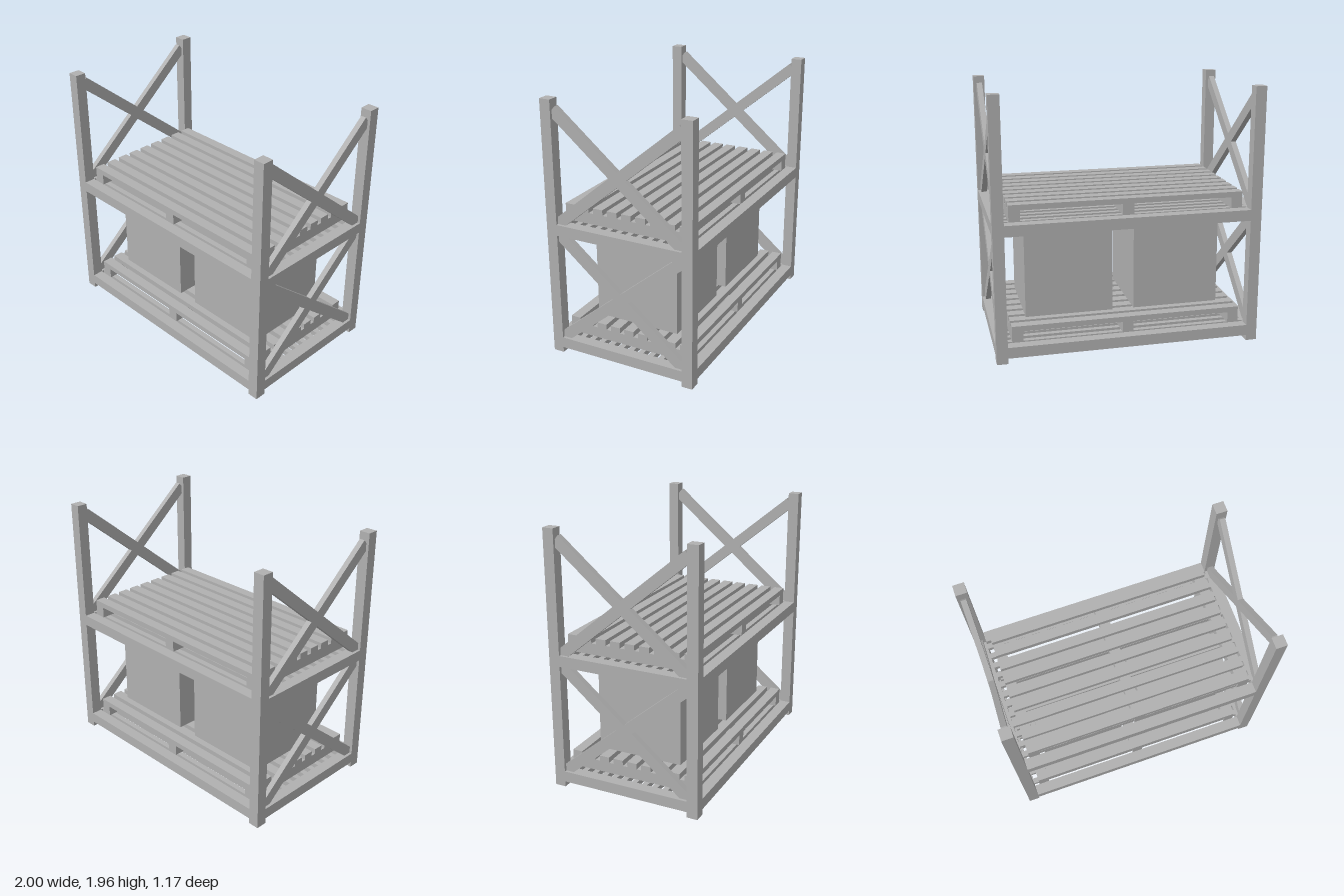
import * as THREE from 'three';

const U = 1 / 12; // timber thickness

export function createModel() {
  const grey = new THREE.MeshStandardMaterial({ color: 0xb0b0b0 });
  grey.name = 'plain grey';
  const model = new THREE.Group();
  model.name = 'palletRack';

  const box = (parent, name, w, h, d, x, y, z) => {
    const mesh = new THREE.Mesh(new THREE.BoxGeometry(w, h, d), grey);
    mesh.name = name;
    mesh.position.set(x, y, z);
    parent.add(mesh);
    return mesh;
  };
  const group = (name, y = 0) => {
    const g = new THREE.Group();
    g.name = name;
    g.position.y = y;
    model.add(g);
    return g;
  };

  // Corner posts
  const postX = 1 - U / 2, postZ = 0.5 + U / 2;
  const posts = group('posts');
  for (const sx of [-1, 1])
    for (const sz of [-1, 1])
      box(posts, 'cornerPost', U, 1.958, U, sx * postX, 0.979, sz * postZ);

  // Shelf: a frame of beams filled with narrow slats (y is the frame's centre)
  const addShelf = (name, y) => {
    const shelf = group(name, y);
    for (const s of [-1, 1]) {
      box(shelf, 'longBeam', 2 - 2 * U, U, U, 0, 0, s * postZ);
      box(shelf, 'sideBeam', U, U, 1, s * postX, 0, 0);
    }
    for (let i = 0; i < 12; i++)
      box(shelf, 'shelfSlat', 2 - 2 * U, U / 2, U / 2, 0, U / 4, (i - 5.5) * U);
  };

  // Pallet: three runners under nine boards (y is the underside)
  const addPallet = (name, y) => {
    const pallet = group(name, y);
    for (const x of [-1, 0, 1])
      box(pallet, 'runner', U, U, 1, x * (0.875 - U / 2), U / 2, 0);
    const board = 0.078;
    for (let i = 0; i < 9; i++)
      box(pallet, 'board', 1.75, U / 2, board, 0, U * 1.25, (i - 4) * (1 - board) / 8);
  };

  // Crossed side braces (y is the crossing point)
  const addBraces = (name, y) => {
    const braces = group(name, y);
    const angle = Math.atan2(5, 6);
    for (const sx of [-1, 1])
      for (const dir of [-1, 1])
        box(braces, 'brace', U / 2, U, 1.31, sx * postX, 0, 0).rotation.x = dir * angle;
  };

  addShelf('lowerShelf', U);
  addShelf('upperShelf', 1);
  addPallet('lowerPallet', 1.5 * U);
  addPallet('upperPallet', 12.5 * U);
  addBraces('lowerBraces', 6.5 * U);
  addBraces('upperBraces', 17.5 * U);

  // Cargo on the lower pallet
  const cargo = group('cargo');
  for (const s of [-1, 1])
    box(cargo, 'crate', 8 * U, 8 * U, 8 * U, s * 5 * U, 7 * U, 0);

  return model;
}
